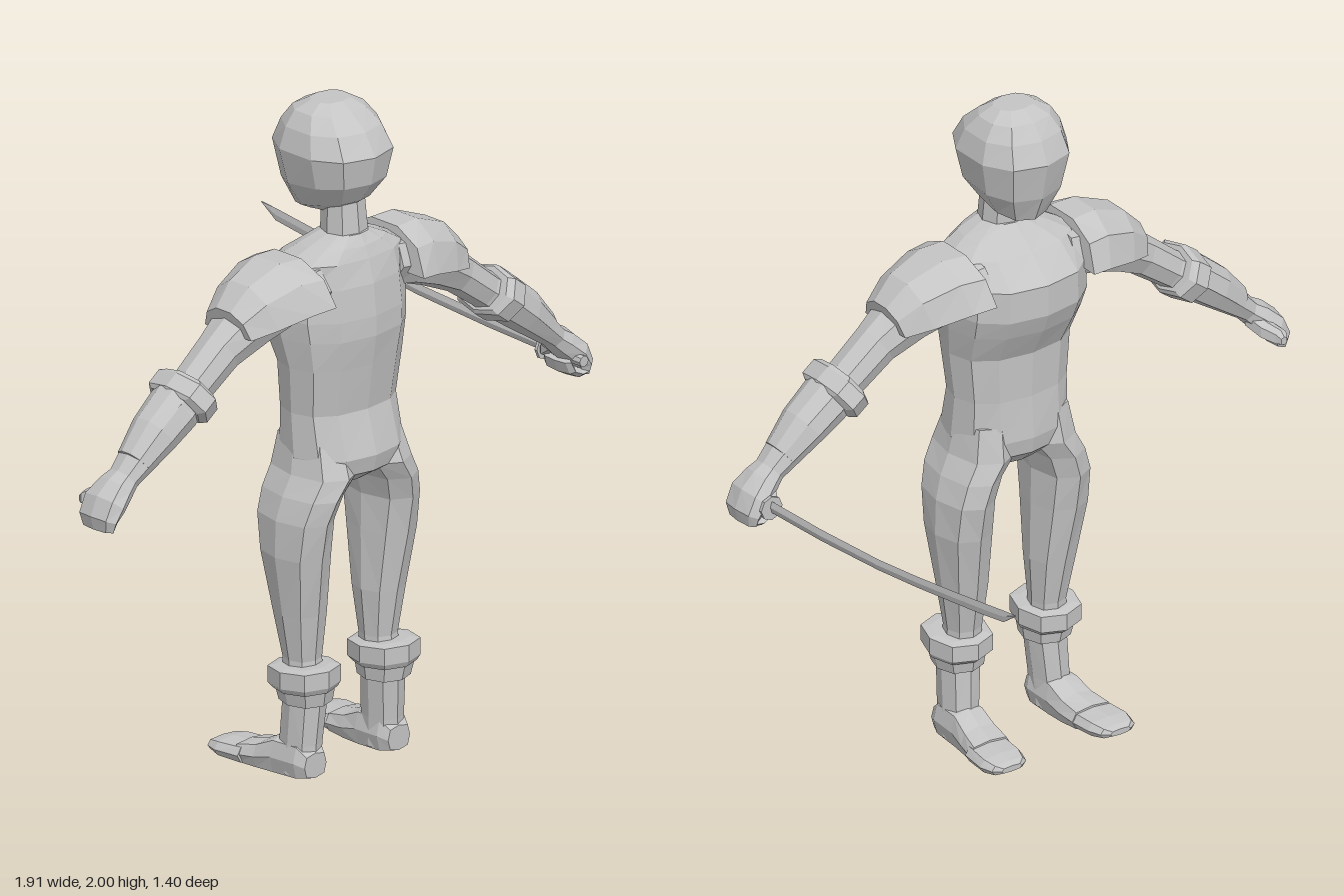
import * as THREE from 'three';

const grey = new THREE.MeshStandardMaterial({ color: 0xc4c4c4, flatShading: true });
grey.name = 'plain grey';
const V = (x, y, z) => new THREE.Vector3(x, y, z);

// Skin a list of equal-length rings, close both ends, and face it outwards
function loft(name, rings) {
  const tris = [], n = rings[0].length;
  for (let r = 0; r < rings.length - 1; r++)
    for (let i = 0; i < n; i++) {
      const j = (i + 1) % n, a = rings[r], b = rings[r + 1];
      tris.push([a[i], b[i], b[j]], [a[i], b[j], a[j]]);
    }
  const first = rings[0], last = rings[rings.length - 1];
  for (let i = 1; i < n - 1; i++)
    tris.push([first[0], first[i], first[i + 1]], [last[0], last[i + 1], last[i]]);
  const volume = tris.reduce((s, [a, b, c]) => s + a.dot(b.clone().cross(c)), 0);
  const pos = [];
  for (const [a, b, c] of tris)
    for (const p of volume < 0 ? [a, c, b] : [a, b, c]) pos.push(p.x, p.y, p.z);
  const g = new THREE.BufferGeometry();
  g.setAttribute('position', new THREE.Float32BufferAttribute(pos, 3));
  g.computeVertexNormals();
  const mesh = new THREE.Mesh(g, grey);
  mesh.name = name;
  return mesh;
}

// Squared-off ellipse as [u, v] pairs
function oval(n, e = 0.85) {
  const soft = (c) => Math.sign(c) * Math.pow(Math.abs(c), e);
  return Array.from({ length: n }, (_, i) => {
    const t = (i / n) * Math.PI * 2;
    return [soft(Math.sin(t)), soft(Math.cos(t))];
  });
}

// Upright part: rows of [y, x0, x1, z0, z1, slope]
function upright(name, rows, n, s = 1) {
  return loft(name, rows.map(([y, x0, x1, z0, z1, slope = 0]) =>
    oval(n).map(([u, v]) => {
      const dz = v * (z1 - z0) / 2;
      return V(s * ((x0 + x1) / 2 + u * (x1 - x0) / 2), y + slope * dz, (z0 + z1) / 2 + dz);
    })));
}

// Limb in the x-y plane: rows of [x, y, z, half thickness, half depth]
function limb(name, rows, s, n = 8, shape = oval(n)) {
  return loft(name, rows.map(([x, y, z, h, d], i) => {
    const a = rows[Math.max(0, i - 1)], b = rows[Math.min(rows.length - 1, i + 1)];
    const dir = V(b[0] - a[0], b[1] - a[1], 0).normalize();
    return shape.map(([u, v]) => V(s * (x - dir.y * u * h), y + dir.x * u * h, z + v * d));
  }));
}

// Lying part: rows of [z, x0, x1, y0, y1]
function lying(name, rows, s, n = 8) {
  return loft(name, rows.map(([z, x0, x1, y0, y1]) =>
    oval(n, 0.65).map(([u, v]) =>
      V(s * ((x0 + x1) / 2 + u * (x1 - x0) / 2), (y0 + y1) / 2 + v * (y1 - y0) / 2, z))));
}

const sym = (rows) => rows.map(([y, h, ...rest]) => [y, -h, h, ...rest]);

export function createModel() {
  const model = new THREE.Group();
  model.name = 'swordFighter';

  // Head, neck and body; the face points to -z
  model.add(upright('head', sym([
    [1.675, 0.055, 0.42, 0.56, 0.12], [1.695, 0.085, 0.385, 0.615, 0.22],
    [1.765, 0.13, 0.35, 0.66, 0.1], [1.865, 0.153, 0.325, 0.677],
    [1.93, 0.135, 0.355, 0.635], [1.975, 0.105, 0.39, 0.58], [2.0, 0.06, 0.44, 0.54],
  ]), 10));
  model.add(upright('neck', sym([
    [1.58, 0.09, 0.46, 0.63], [1.62, 0.066, 0.485, 0.61], [1.72, 0.06, 0.485, 0.6],
  ]), 8));
  model.add(upright('torso', sym([
    [0.875, 0.085, 0.45, 0.6], [0.92, 0.165, 0.4, 0.67], [0.97, 0.185, 0.39, 0.682],
    [1.1, 0.182, 0.4, 0.645], [1.24, 0.195, 0.395, 0.665], [1.33, 0.21, 0.345, 0.68],
    [1.39, 0.217, 0.32, 0.68], [1.485, 0.21, 0.32, 0.67], [1.555, 0.2, 0.4, 0.65],
    [1.59, 0.135, 0.445, 0.635], [1.62, 0.065, 0.48, 0.615],
  ]), 12));

  for (const s of [1, -1]) {
    const side = s > 0 ? 'left' : 'right';

    // Leg, boot cuffs and foot
    const leg = new THREE.Group();
    leg.name = side + 'Leg';
    leg.add(upright('thighAndShin', [
      [1.02, 0.02, 0.175, 0.41, 0.64], [0.92, 0.015, 0.195, 0.39, 0.68],
      [0.86, 0.065, 0.225, 0.39, 0.672], [0.79, 0.088, 0.245, 0.395, 0.655],
      [0.68, 0.086, 0.248, 0.415, 0.635], [0.5, 0.085, 0.222, 0.45, 0.605],
      [0.36, 0.095, 0.2, 0.478, 0.585], [0.26, 0.095, 0.205, 0.48, 0.6],
    ], 8, s));
    leg.add(upright('upperCuff', [
      [0.275, 0.07, 0.24, 0.46, 0.64, 0.04], [0.29, 0.06, 0.25, 0.445, 0.65, 0.06],
      [0.34, 0.06, 0.25, 0.445, 0.65, 0.06], [0.345, 0.085, 0.225, 0.47, 0.62, 0.06],
    ], 8, s));
    leg.add(upright('lowerCuff', [
      [0.235, 0.082, 0.222, 0.475, 0.625], [0.285, 0.075, 0.235, 0.465, 0.635],
    ], 8, s));
    leg.add(upright('bootShaft', [
      [0.02, 0.11, 0.215, 0.46, 0.6], [0.11, 0.105, 0.212, 0.475, 0.6],
      [0.25, 0.092, 0.21, 0.485, 0.61],
    ], 8, s));
    leg.add(lying('foot', [
      [0.602, 0.12, 0.205, 0.015, 0.09], [0.57, 0.105, 0.22, 0.004, 0.12],
      [0.48, 0.105, 0.225, 0, 0.12], [0.42, 0.105, 0.235, 0.004, 0.09],
      [0.355, 0.108, 0.25, 0.01, 0.075],
    ], s));
    leg.add(lying('toeCap', [
      [0.375, 0.108, 0.252, 0.012, 0.07], [0.29, 0.115, 0.262, 0.015, 0.066],
      [0.25, 0.13, 0.25, 0.022, 0.058], [0.235, 0.155, 0.225, 0.03, 0.048],
    ], s));
    model.add(leg);

    // Arm with band, forearm guard and shoulder plate
    const arm = new THREE.Group();
    arm.name = side + 'Arm';
    arm.add(limb('armSleeve', [
      [0.14, 1.49, 0.515, 0.08, 0.13], [0.25, 1.47, 0.515, 0.085, 0.115],
      [0.36, 1.42, 0.52, 0.074, 0.09], [0.46, 1.36, 0.52, 0.06, 0.066],
      [0.56, 1.285, 0.52, 0.055, 0.062], [0.64, 1.23, 0.522, 0.064, 0.082],
      [0.71, 1.175, 0.522, 0.057, 0.073], [0.84, 1.065, 0.52, 0.034, 0.048],
    ], s));
    arm.add(limb('elbowBand', [
      [0.57, 1.282, 0.52, 0.068, 0.09], [0.58, 1.275, 0.52, 0.077, 0.113],
      [0.62, 1.245, 0.52, 0.077, 0.113], [0.63, 1.238, 0.52, 0.068, 0.09],
    ], s));
    const arch = [[0, 1], [0.65, 0.78], [1, 0.3], [1, -0.3], [0.65, -0.78], [0, -1]];
    arm.add(limb('forearmGuard', [
      [0.62, 1.245, 0.52, 0.072, 0.084], [0.71, 1.175, 0.52, 0.069, 0.076],
      [0.79, 1.108, 0.52, 0.05, 0.058],
    ], s, 6, arch));
    arm.add(limb('shoulderPlate', [
      [0.17, 1.462, 0.515, 0.12, 0.182], [0.24, 1.452, 0.515, 0.135, 0.165],
      [0.35, 1.425, 0.518, 0.12, 0.13], [0.425, 1.405, 0.52, 0.075, 0.095],
    ], s, 6, arch));

    // Palm and fingers
    arm.add(limb('hand', [
      [0.82, 1.08, 0.52, 0.034, 0.046], [0.86, 1.05, 0.518, 0.042, 0.06],
      [0.9, 1.015, 0.516, 0.042, 0.075], [0.925, 0.975, 0.515, 0.032, 0.073],
      [0.925, 0.945, 0.515, 0.02, 0.062],
    ], s));
    if (s > 0) arm.add(limb('curledFingers', [
      [0.925, 0.955, 0.515, 0.018, 0.065], [0.9, 0.952, 0.515, 0.018, 0.066],
      [0.872, 0.965, 0.515, 0.016, 0.064], [0.86, 0.995, 0.515, 0.013, 0.058],
    ], s));
    // Thumb: wraps the grip on one side, spread on the other
    arm.add(lying('thumb', s > 0 ? [
      [0.5, 0.835, 0.875, 1.01, 1.055], [0.46, 0.845, 0.895, 0.985, 1.03],
      [0.443, 0.86, 0.895, 0.985, 1.015],
    ] : [
      [0.5, 0.815, 0.865, 1.02, 1.07], [0.45, 0.835, 0.885, 0.995, 1.045],
      [0.42, 0.865, 0.905, 0.98, 1.025], [0.405, 0.875, 0.897, 0.985, 1.01],
    ], s, 6));
    model.add(arm);
  }

  // Curved sword: grip, round guard and diamond-section blade
  const sword = new THREE.Group();
  sword.name = 'sword';
  const turned = (name, r, length, z) => {
    const m = new THREE.Mesh(new THREE.CylinderGeometry(r, r, length, 8), grey);
    m.rotation.x = Math.PI / 2;
    m.position.set(0.884, 1.0, z);
    m.name = name;
    sword.add(m);
  };
  turned('grip', 0.017, 0.16, 0.52);
  turned('guard', 0.037, 0.01, 0.44);
  const blade = [[0.45, 0.985, 1.022], [0.2, 0.996, 1.032], [-0.07, 1.016, 1.05],
    [-0.25, 1.036, 1.071], [-0.42, 1.058, 1.094], [-0.55, 1.075, 1.113],
    [-0.645, 1.09, 1.127], [-0.7, 1.13, 1.134]];
  sword.add(loft('blade', blade.map(([z, low, high]) => {
    const t = (0.45 - z) / 1.15, x = 0.884 - 0.024 * t * t, w = 0.006 * (1 - 0.6 * t);
    const mid = (low + high) / 2;
    return [V(x, low, z), V(x + w, mid, z), V(x, high, z), V(x - w, mid, z)];
  })));
  model.add(sword);
  return model;
}
